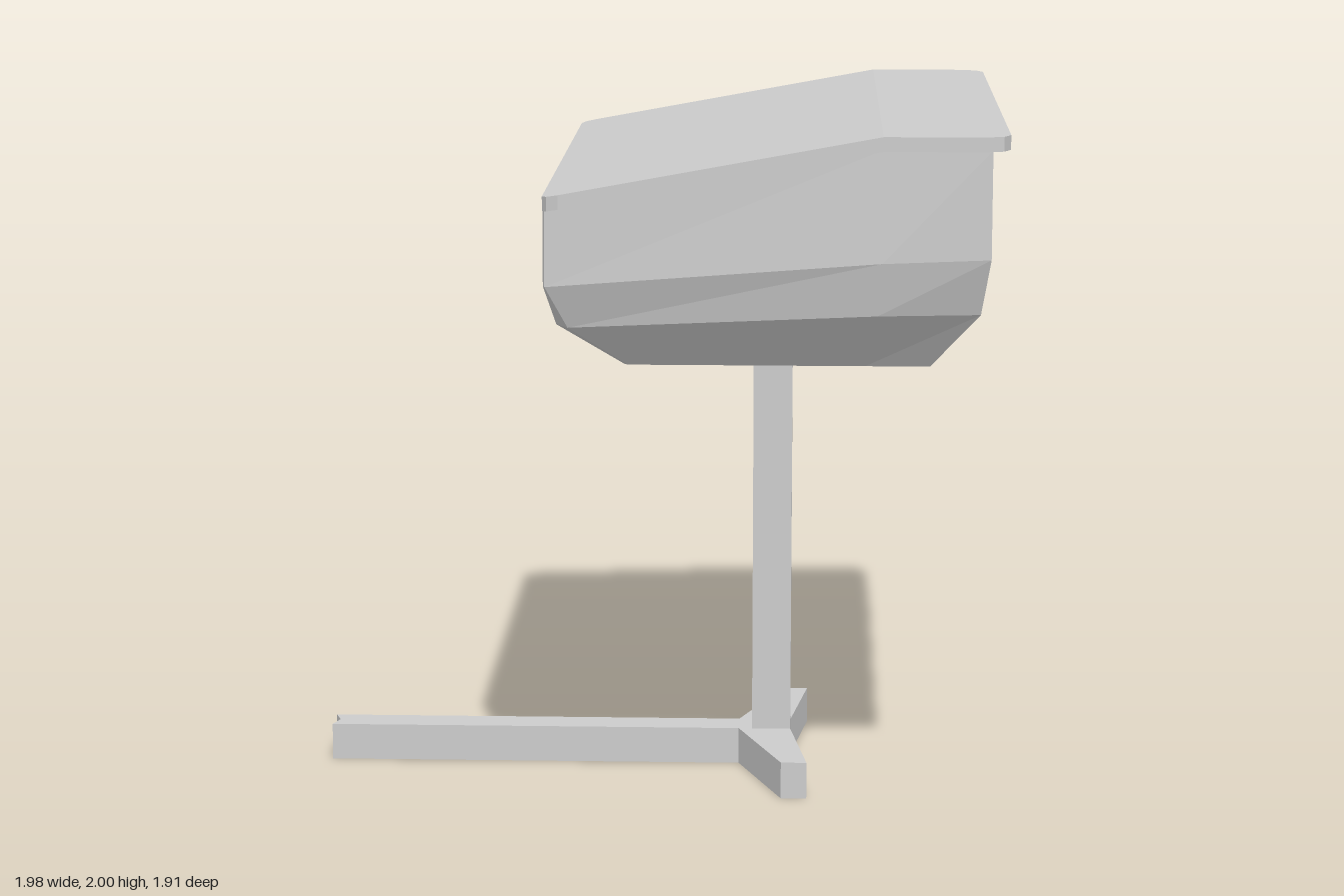
import * as THREE from 'three';

const grey = new THREE.MeshStandardMaterial({ color: 0xcccccc, flatShading: true });

// Skin a stack of equal-length closed loops and cap both ends.
function loft(rings) {
  const pos = [];
  const tri = (...pts) => pts.forEach((p) => pos.push(...p));
  const n = rings[0].length;
  for (let r = 0; r < rings.length - 1; r++) {
    const a = rings[r], b = rings[r + 1];
    for (let i = 0; i < n; i++) {
      const j = (i + 1) % n;
      tri(a[i], a[j], b[j]);
      tri(a[i], b[j], b[i]);
    }
  }
  const first = rings[0], last = rings[rings.length - 1];
  for (let i = 1; i < n - 1; i++) {
    tri(first[0], first[i + 1], first[i]);
    tri(last[0], last[i], last[i + 1]);
  }
  const geo = new THREE.BufferGeometry();
  geo.setAttribute('position', new THREE.Float32BufferAttribute(pos, 3));
  geo.computeVertexNormals();
  return geo;
}

// Complete a half loop by mirroring it across z = 0.
const mirrorZ = (half) => [...half, ...half.map(([x, y, z]) => [x, y, -z]).reverse()];

// Height of the writing surface: sloped, then level.
const lidTop = (x) => (x < 0.64 ? 2 - ((0.64 - x) * 0.17) / 0.925 : 2);
const THICK = 0.04;

export function createModel() {
  const group = new THREE.Group();
  const add = (name, geo) => {
    const mesh = new THREE.Mesh(geo, grey);
    mesh.name = name;
    group.add(mesh);
    return mesh;
  };

  // Lid: stations along x as [x, half width], with clipped corners
  const stations = [
    [-0.285, 0.915], [-0.272, 0.943], [-0.24, 0.955], [0.64, 0.955],
    [0.91, 0.955], [0.965, 0.935], [0.985, 0.89],
  ];
  add('lid', loft(stations.map(([x, w]) => {
    const t = lidTop(x), b = t - THICK;
    return [[x, b, w], [x, b, -w], [x, t, -w], [x, t, w]];
  })));

  // Storage tub: loops from the flat bottom up to the underside of the lid
  const under = (x, z) => [x, lidTop(x) - THICK, z];
  add('tub', loft([
    [[-0.07, 1.335, 0.715], [-0.06, 1.335, 0.725], [0.6, 1.335, 0.725], [0.78, 1.335, 0.722]],
    [[-0.255, 1.46, 0.8], [-0.22, 1.46, 0.86], [0.63, 1.5, 0.88], [0.913, 1.5, 0.845]],
    [[-0.285, 1.58, 0.895], [-0.28, 1.58, 0.91], [0.64, 1.65, 0.918], [0.937, 1.66, 0.905]],
    [under(-0.285, 0.895), under(-0.28, 0.91), under(0.64, 0.91), under(0.937, 0.905)],
  ].map(mirrorZ)));

  // Post
  const post = add('post', new THREE.BoxGeometry(0.115, 1.24, 0.11));
  post.position.set(0.3375, 0.72, 0);

  // Foot: long bar with a notched end and two splayed arms
  const half = [[-0.99, 0.055], [0.24, 0.055], [0.37, 0.43], [0.445, 0.43], [0.395, 0.055]];
  const plan = [[-0.972, 0], ...half.map(([x, z]) => [x, -z]),
    ...half.slice().reverse()];
  const shape = new THREE.Shape(plan.map(([x, z]) => new THREE.Vector2(x, z)));
  const foot = new THREE.ExtrudeGeometry(shape, { depth: 0.108, bevelEnabled: false });
  foot.rotateX(-Math.PI / 2);
  add('foot', foot);

  return group;
}
